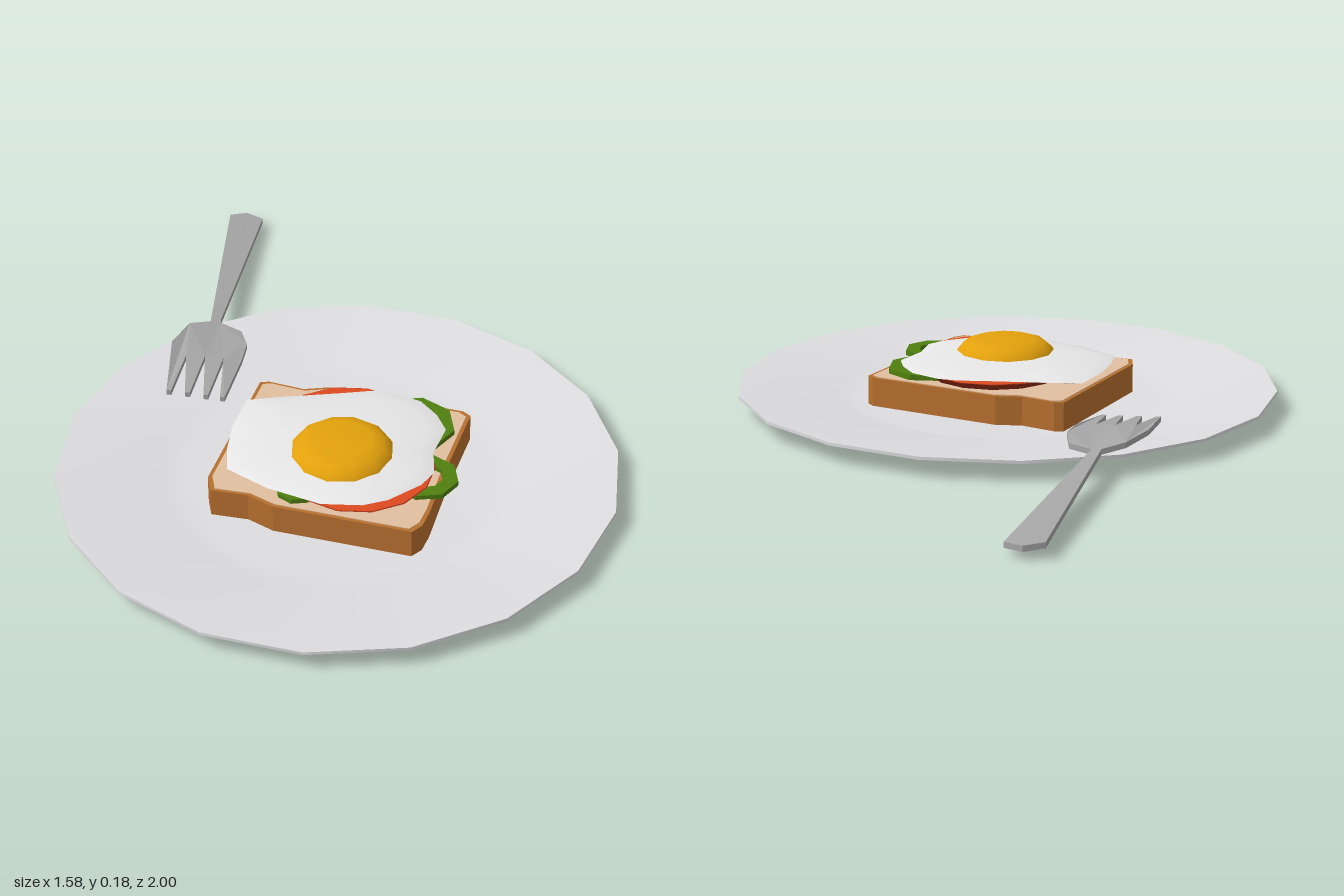
import * as THREE from 'three';

const mat = (name, color) => {
  const m = new THREE.MeshStandardMaterial({ color });
  m.name = name;
  return m;
};
const v2 = (pts) => pts.map(([a, b]) => new THREE.Vector2(a, b));

// Flat slab whose outline is given as (x, z), extruded downward from its top.
function slab(outline, top, thickness, hole) {
  const shape = new THREE.Shape(v2(outline));
  if (hole) shape.holes.push(new THREE.Path(v2(hole)));
  const g = new THREE.ExtrudeGeometry(shape, { depth: thickness, bevelEnabled: false });
  return g.rotateX(Math.PI / 2).translate(0, top, 0);
}

// Lofts one outline through rings of [scale, y] about a centre, bottom to top.
function loft(outline, cx, cz, rings) {
  const pos = [], idx = [], n = outline.length;
  for (const [s, y] of rings)
    for (const [x, z] of outline) pos.push(cx + (x - cx) * s, y, cz + (z - cz) * s);
  for (let r = 0; r < rings.length - 1; r++)
    for (let i = 0; i < n; i++) {
      const a = r * n + i, b = r * n + (i + 1) % n;
      idx.push(a, a + n, b, b, a + n, b + n);
    }
  const g = new THREE.BufferGeometry();
  g.setAttribute('position', new THREE.Float32BufferAttribute(pos, 3));
  g.setIndex(idx);
  g.computeVertexNormals();
  return g;
}

// Piecewise linear lookup in [key, value] pairs.
function lerpTable(table, k) {
  for (let i = 1; i < table.length; i++) {
    const [k0, a] = table[i - 1], [k1, b] = table[i];
    if (k <= k1) return a + (b - a) * Math.max(0, (k - k0) / (k1 - k0));
  }
  return table[table.length - 1][1];
}

export function createModel() {
  const model = new THREE.Group();
  model.name = 'eggToastOnPlate';
  const china = mat('china', 0xdedde0), steel = mat('steel', 0xa6a6a6);
  const crust = mat('crust', 0xb8702f), crumb = mat('crumb', 0xe0bf9f);
  const tomatoFlesh = mat('tomatoFlesh', 0xdc4a20), tomatoSkin = mat('tomatoSkin', 0x9c2e16);
  const pepper = mat('pepper', 0x4f8010);
  const white = mat('eggWhite', 0xebebeb), yolkMat = mat('yolk', 0xe3a10c);

  const add = (name, geometry, material, parent = model) => {
    const m = new THREE.Mesh(geometry, material);
    m.name = name;
    parent.add(m);
    return m;
  };
  const group = (name) => {
    const g = new THREE.Group();
    g.name = name;
    model.add(g);
    return g;
  };

  // Plate: underside, rim and upper face kept separate for crisp rim edges
  const plate = group('plate');
  plate.position.z = 0.22;
  const lathe = (pts, n, start) => new THREE.LatheGeometry(v2(pts), n, start);
  const turn = Math.PI / 18;
  add('plateUnderside', lathe([[0, 0], [0.45, 0], [0.5, 0.018], [0.79, 0.052]], 18, turn), china, plate);
  add('plateRim', lathe([[0.79, 0.052], [0.79, 0.061]], 18, turn), china, plate);
  add('plateTop', lathe([[0.79, 0.061], [0.5, 0.032], [0.44, 0.016], [0, 0.016]], 18, turn), china, plate);

  // Bread slice with a crust and a paler top
  const bread = group('bread');
  const slice = [
    [-0.31, -0.035], [-0.285, -0.045], [-0.18, -0.037], [-0.11, -0.066], [0.29, -0.06], [0.315, -0.045],
    [0.31, 0.2], [0.315, 0.41], [0.31, 0.47], [0.29, 0.503], [-0.1, 0.503], [-0.18, 0.475], [-0.285, 0.482], [-0.31, 0.43],
  ];
  add('breadCrust', slab(slice, 0.1, 0.085), crust, bread);
  const inset = slice.map(([x, z]) => [x * 0.965, 0.22 + (z - 0.22) * 0.965]);
  add('breadTop', slab(inset, 0.102, 0.003), crumb, bread);

  // Tomato slices with a skin that tapers downward
  const tomatoes = group('tomatoSlices');
  [[0.005, 0.152, 0.214, 0.122], [0.08, 0.285, 0.212, 0.12]].forEach(([x, z, r, top], i) => {
    const h = top - 0.101;
    add('tomatoSkin' + i, new THREE.CylinderGeometry(r, r - 0.025, h, 14), tomatoSkin, tomatoes)
      .position.set(x, top - h / 2, z);
    add('tomatoFlesh' + i, new THREE.CylinderGeometry(r - 0.003, r - 0.003, 0.003, 14), tomatoFlesh, tomatoes)
      .position.set(x, top, z);
  });

  // Green pepper rings tucked under the egg
  const peppers = group('pepperRings');
  [[0.17, 0.065, 0.125, 0.124], [0.265, 0.275, 0.095, 0.115], [-0.055, 0.42, 0.06, 0.116]].forEach(([x, z, r, top], i) => {
    const ring = (rad) => Array.from({ length: 8 }, (_, k) => {
      const a = k * Math.PI / 4;
      return [x + rad * Math.cos(a), z + rad * Math.sin(a)];
    });
    add('pepperRing' + i, slab(ring(r), top, 0.015, ring(r - 0.042)), pepper, peppers);
  });

  // Fried egg
  const egg = group('friedEgg');
  const edge = [
    [-0.308, 0.09], [-0.22, 0.05], [-0.06, -0.015], [0.02, -0.05], [0.08, -0.06], [0.17, -0.04],
    [0.23, 0.01], [0.272, 0.07], [0.265, 0.18], [0.29, 0.27], [0.27, 0.33], [0.2, 0.42],
    [0.14, 0.46], [0.03, 0.486], [-0.13, 0.46], [-0.26, 0.41], [-0.29, 0.32], [-0.308, 0.22],
  ];
  add('eggWhite', loft(edge, 0.025, 0.26,
    [[0, 0.124], [0.97, 0.122], [1, 0.125], [0.85, 0.132], [0.55, 0.143], [0, 0.147]]), white, egg);
  add('eggYolk', lathe([[0.146, 0.138], [0.138, 0.152], [0.118, 0.169], [0.085, 0.179], [0, 0.181]], 12, 0), yolkMat, egg)
    .position.set(0.025, 0, 0.26);

  // Fork: flat outline bent along its length and rolled slightly
  const outline = [
    [-0.715, -0.965], [-0.67, -1], [-0.612, -0.985], [-0.535, -0.345], [-0.53, -0.325], [-0.455, -0.3],
    [-0.415, -0.23], [-0.405, -0.15], [-0.402, 0.018], [-0.415, 0.02], [-0.458, -0.14],
    [-0.45, 0.025], [-0.463, 0.028], [-0.512, -0.13], [-0.503, 0.032], [-0.517, 0.036],
    [-0.565, -0.115], [-0.557, 0.042], [-0.57, 0.045], [-0.625, -0.16], [-0.61, -0.275], [-0.56, -0.32],
  ];
  const bend = [[-1, 0.035], [-0.45, 0.066], [-0.32, 0.077], [-0.25, 0.092], [-0.15, 0.093], [0.05, 0.072]];
  const fork = slab(outline, 0, 0.016);
  const p = fork.attributes.position;
  for (let i = 0; i < p.count; i++)
    p.setY(i, p.getY(i) + lerpTable(bend, p.getZ(i)) - 0.08 * (p.getX(i) + 0.54 - 0.15 * Math.min(0, p.getZ(i) + 0.33)));
  fork.computeVertexNormals();
  add('fork', fork, steel);

  return model;
}
